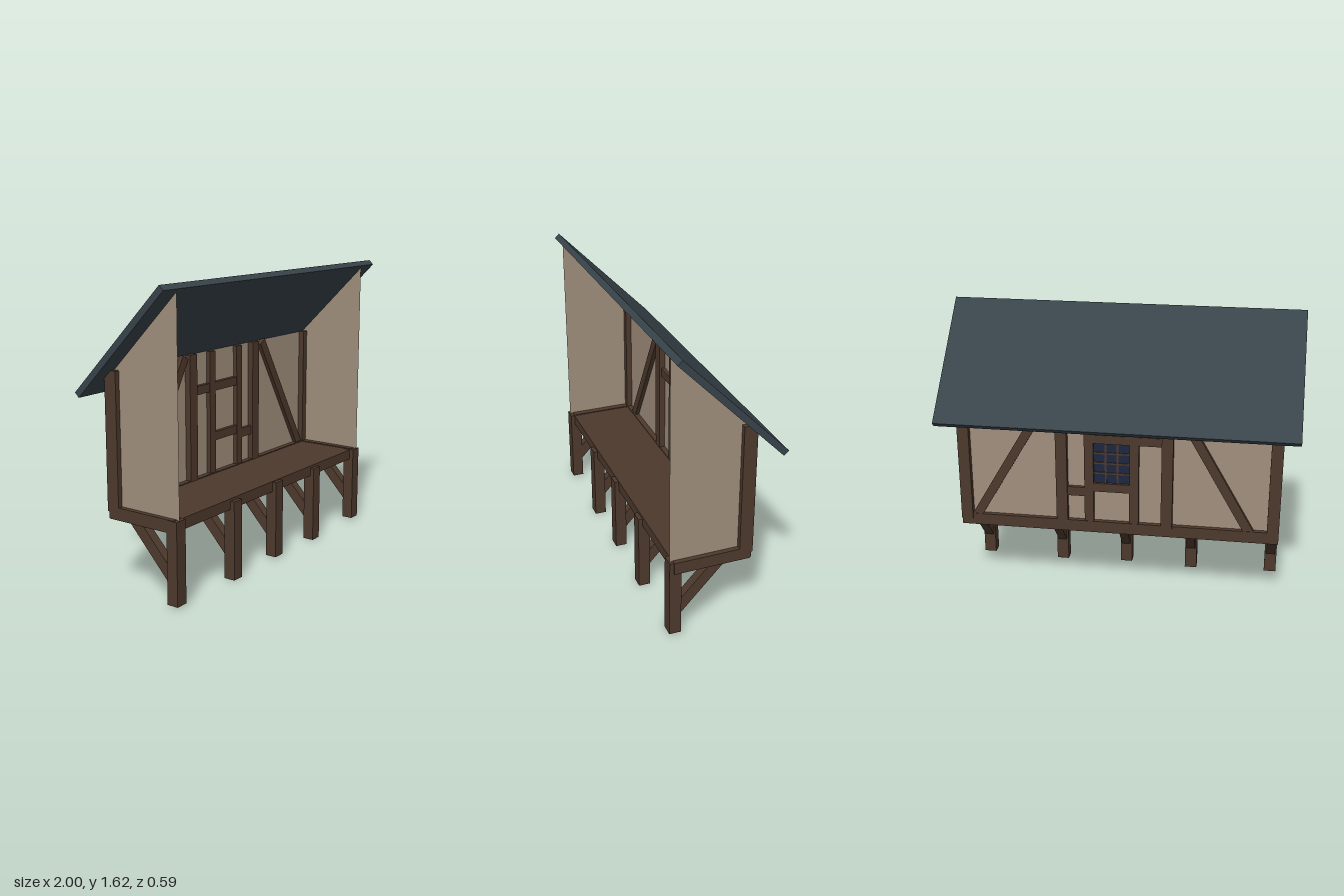
import * as THREE from 'three';

const mat = (color, side = THREE.FrontSide) => {
  const m = new THREE.MeshStandardMaterial({ side, flatShading: true });
  m.color.set(color);
  return m;
};

export function createModel() {
  const model = new THREE.Group();
  const wood = mat(0x4d392c);
  const plaster = mat(0xa08f7d, THREE.DoubleSide);
  const slate = mat(0x38434a);
  const glass = mat(0x1e2740);

  // Axis-aligned box given by its limits
  function box(name, material, x0, x1, y0, y1, z0, z1) {
    const m = new THREE.Mesh(new THREE.BoxGeometry(x1 - x0, y1 - y0, z1 - z0), material);
    m.position.set((x0 + x1) / 2, (y0 + y1) / 2, (z0 + z1) / 2);
    m.name = name;
    model.add(m);
    return m;
  }

  // Beam from a to b: w across (in x or the wall plane), d deep
  function beam(name, a, b, w, d) {
    const p = new THREE.Vector3(...a), q = new THREE.Vector3(...b);
    const dir = q.clone().sub(p);
    const m = new THREE.Mesh(new THREE.BoxGeometry(w, dir.length(), d), wood);
    m.position.copy(p).add(q).multiplyScalar(0.5);
    m.quaternion.setFromUnitVectors(new THREE.Vector3(0, 1, 0), dir.normalize());
    m.name = name;
    model.add(m);
  }

  // Floor, with side beams and a rear sill
  box('floor', wood, -0.88, 0.87, 0.395, 0.455, -0.15, 0.262);
  for (const x of [-0.88, 0.87]) box('sideBeam', wood, x - 0.033, x + 0.033, 0.392, 0.46, -0.16, 0.262);
  box('rearSill', wood, -0.91, 0.9, 0.392, 0.46, -0.165, -0.1);

  // Supporting posts with diagonal braces
  for (const [x, y0, y1] of [[-0.88, 0.012, 0.457], [-0.4, 0, 0.44], [-0.003, 0.012, 0.45], [0.395, 0, 0.44], [0.86, 0.012, 0.457]]) {
    box('supportPost', wood, x - 0.035, x + 0.035, y0, y1, 0.22, 0.285);
    beam('brace', [x, 0.143, 0.25], [x, 0.422, -0.01], 0.052, 0.062);
  }

  // Rear wall and sloped side walls
  box('rearWall', plaster, -0.875, 0.865, 0.45, 1.175, -0.138, -0.132);
  const side = new THREE.Shape([[0.28, 0.45], [0.28, 1.6], [-0.135, 1.18], [-0.135, 0.45]]
    .map(([z, y]) => new THREE.Vector2(-z, y)));
  for (const x of [-0.885, 0.875]) {
    const m = new THREE.Mesh(new THREE.ShapeGeometry(side), plaster);
    m.rotation.y = Math.PI / 2;
    m.position.x = x;
    m.name = 'sideWall';
    model.add(m);
  }

  // Uprights of the timber frame
  for (const [x, w] of [[-0.88, 0.066], [-0.285, 0.064], [0.31, 0.064], [0.87, 0.066]])
    box('mainUpright', wood, x - w / 2, x + w / 2, 0.43, 1.17, -0.172, -0.098);
  for (const x of [-0.1, 0.155])
    box('windowUpright', wood, x - 0.026, x + 0.026, 0.44, 1.165, -0.163, -0.107);

  // Cross rails and slanting timbers
  box('upperRail', wood, -0.27, 0.14, 0.935, 0.985, -0.16, -0.11);
  box('windowRail', wood, -0.09, 0.14, 0.645, 0.695, -0.16, -0.11);
  box('shortRail', wood, 0.17, 0.29, 0.612, 0.665, -0.16, -0.11);
  beam('slantingTimber', [-0.755, 0.44, -0.135], [-0.34, 1.16, -0.135], 0.052, 0.055);
  beam('slantingTimber', [0.82, 0.44, -0.135], [0.395, 1.16, -0.135], 0.052, 0.055);

  // Window on the rear face: pane and glazing bars
  box('windowPane', glass, -0.08, 0.135, 0.69, 0.94, -0.144, -0.139);
  for (let i = 1; i < 3; i++) {
    const x = -0.074 + i * 0.203 / 3;
    box('glazingBar', wood, x - 0.005, x + 0.005, 0.69, 0.94, -0.15, -0.14);
  }
  for (let i = 1; i < 4; i++) {
    const y = 0.695 + i * 0.06;
    box('glazingBar', wood, -0.08, 0.135, y - 0.005, y + 0.005, -0.15, -0.14);
  }

  // Single-pitch roof slab
  const roof = box('roof', slate, -1, 1, -0.0175, 0.0175, -0.4, 0.4);
  roof.position.set(0, 1.326, 0.001);
  roof.rotation.x = -Math.atan2(0.572, 0.565);

  return model;
}
